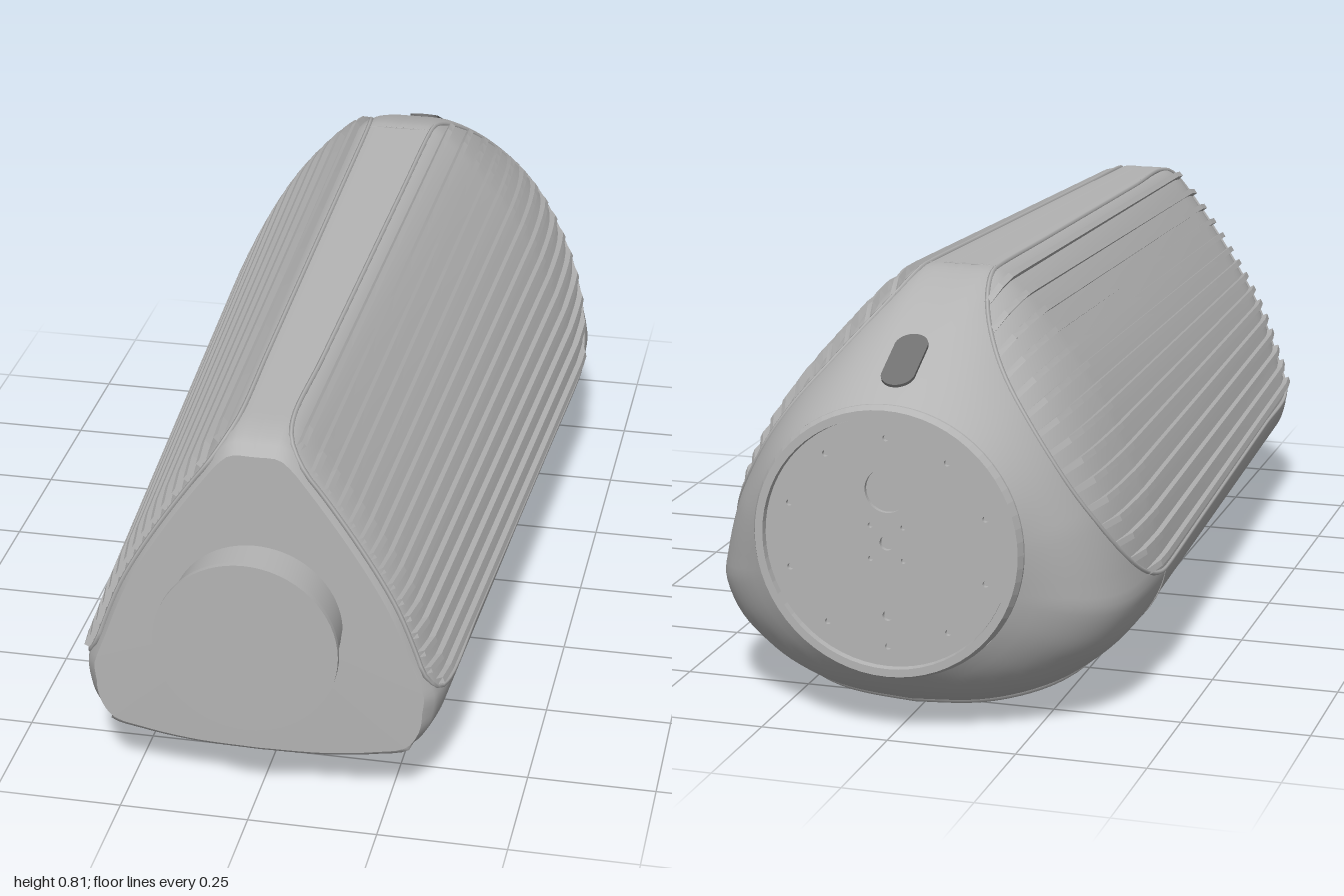
import * as THREE from 'three';

const CY = 0.38; // height of the long axis
const clamp = THREE.MathUtils.clamp;
const curve = pts => new THREE.CatmullRomCurve3(pts.map(([x, y]) => new THREE.Vector3(x, y, 0)));

// Half outlines from top centre round to bottom centre, at the rear shoulder and at the front
const rear = curve([[0, .81], [.07, .808], [.10, .79], [.14, .755], [.20, .685], [.25, .62], [.30, .54], [.34, .46],
  [.37, .39], [.39, .33], [.405, .27], [.412, .23], [.38, .15], [.31, .085], [.25, .05], [.15, .018], [0, .006]]);
const front = curve([[0, .757], [.05, .755], [.075, .735], [.11, .69], [.16, .62], [.20, .56], [.24, .495], [.275, .43],
  [.30, .37], [.32, .315], [.338, .268], [.348, .235], [.335, .175], [.295, .13], [.23, .115], [.13, .103], [0, .099]]);

// Point on the body skin: u runs once round in 0..2, z along the axis
function skin(u, z) {
  u = ((u % 2) + 2) % 2;
  const side = u > 1 ? -1 : 1;
  const t = rear.getUtoTmapping(u > 1 ? 2 - u : u);
  const b = rear.getPoint(t);
  const p = front.getPoint(t).lerp(b, clamp((0.85 - z) / 1.4, 0, 1));
  // rounded front edge, sharper underneath
  const e = clamp((z - 0.8) / 0.1, 0, 1);
  const s = 1 - 0.08 * (1 - Math.sqrt(1 - e * e)) * clamp((p.y - 0.1) / 0.1, 0, 1);
  p.x *= s;
  p.y = CY + (p.y - CY) * s;
  // rear shoulder blends into a circle
  const d = clamp((-0.55 - z) / 0.43, 0, 1);
  if (d > 0) {
    const k = Math.pow(d, 1.4 + 2.8 * clamp((0.81 - b.y) / 0.4, 0, 1));
    const a = Math.atan2(b.y - CY, b.x);
    p.lerp(new THREE.Vector3(0.262 * Math.cos(a), CY + 0.262 * Math.sin(a), 0), k);
  }
  return new THREE.Vector3(p.x * side, p.y, z);
}

// Skin point moved outward by h and sideways by w
function offset(u, z, h, w = 0) {
  const t = skin(u + 0.005, z).sub(skin(u - 0.005, z)).normalize();
  return skin(u, z).add(new THREE.Vector3(-t.y * h + t.x * w, t.x * h + t.y * w, 0));
}

// Surface from a grid of points f(i, j)
function grid(f, ni, nj) {
  const pos = [], idx = [];
  for (let j = 0; j <= nj; j++) for (let i = 0; i <= ni; i++) {
    pos.push(...f(i, j).toArray());
    if (i < ni && j < nj) {
      const a = j * (ni + 1) + i, c = a + ni + 1;
      idx.push(a, a + 1, c, a + 1, c + 1, c);
    }
  }
  const g = new THREE.BufferGeometry();
  g.setAttribute('position', new THREE.Float32BufferAttribute(pos, 3));
  g.setIndex(idx);
  g.computeVertexNormals();
  return g;
}

export function createModel() {
  const group = new THREE.Group();
  const grey = new THREE.MeshStandardMaterial({ color: 0xb4b4b4, side: THREE.DoubleSide });
  grey.name = 'grey shell';
  const dark = new THREE.MeshStandardMaterial({ color: 0x707070 });
  dark.name = 'dark recess';
  const add = (name, geo, parent = group, mat = grey) => {
    const m = new THREE.Mesh(geo, mat);
    m.name = name;
    parent.add(m);
    return m;
  };
  const tube = (pts, r, closed = false) =>
    new THREE.TubeGeometry(new THREE.CatmullRomCurve3(pts, closed), pts.length * 4, r, 5, closed);

  // Tapered body and front face
  add('body', grid((i, j) => skin(i / 64, 0.9 - 1.88 * j / 96), 128, 96));
  add('frontFace', grid((i, j) => skin(i / 64, 0.9).lerp(new THREE.Vector3(0, CY, 0.905), 1 - j / 6), 128, 6));

  // Ribbed side panel, mirrored
  const side = new THREE.Group();
  side.name = 'leftPanel';
  const uA = 0.055, uB = 0.597, uM = (uA + uB) / 2, uH = (uB - uA) / 2;
  const panelEnd = u => -0.52 - 0.34 * Math.sqrt(Math.max(0, 1 - ((u - uM) / uH) ** 2));
  for (let k = 0; k < 15; k++) {
    const u = 0.083 + 0.492 * k / 14;
    const z0 = k === 0 || k === 14 ? 0.855 : 0.88, z1 = panelEnd(u);
    const g = grid((i, j) => {
      const z = z0 + (z1 - z0) * j / 28;
      const h = 0.014 * (j === 28 ? 0.2 : 1);
      return offset(u, z, i === 1 || i === 2 ? h : -0.006, i < 2 ? -0.006 : 0.006);
    }, 3, 28).toNonIndexed();
    g.computeVertexNormals();
    add('rib', g, side);
  }

  // Rim round the panel
  const rim = [];
  for (let i = 0; i <= 24; i++) {
    const a = Math.PI * i / 24;
    rim.push(skin(uM - uH * Math.cos(a), -0.52 - 0.34 * Math.sin(a)));
  }
  for (const z of [-0.2, 0.2, 0.55, 0.8]) rim.push(skin(uB, z));
  rim.push(skin(uB - 0.015, 0.86));
  for (let i = 0; i <= 10; i++) rim.push(skin(uB - 0.05 - (uB - uA - 0.1) * i / 10, 0.885));
  rim.push(skin(uA + 0.015, 0.86));
  for (const z of [0.8, 0.55, 0.2, -0.2]) rim.push(skin(uA, z));
  add('panelRim', tube(rim, 0.005, true), side);

  // Shell joint across the lower corner
  add('cornerSeam', tube([0, 1, 2, 3, 4, 5].map(i => skin(uB + 0.146 * i / 5, -0.53)), 0.002), side);
  group.add(side);
  const other = side.clone();
  other.name = 'rightPanel';
  other.scale.x = -1;
  group.add(other);
  add('topSeam', tube([-2, -1, 0, 1, 2].map(i => skin(uA * i / 2, -0.53)), 0.002));

  // Raised plate underneath with a rounded rear end
  add('bottomPlate', grid((i, j) => {
    const v = clamp((i - 21) / 20, -1, 1), s = clamp((j - 1) / 40, 0, 1);
    const zEnd = -0.52 - 0.32 * Math.sqrt(1 - v ** 4);
    const edge = i === 0 || i === 42 || j === 0 || j === 42;
    return offset(1 + 0.255 * v, 0.895 + (zEnd - 0.895) * s, edge ? -0.004 : 0.006);
  }, 42, 42));

  // Slot on the rear shoulder
  const slot = new THREE.Shape();
  slot.absarc(0, 0.042, 0.032, 0, Math.PI);
  slot.absarc(0, -0.042, 0.032, Math.PI, Math.PI * 2);
  const slotAt = skin(0, -0.875);
  const slope = skin(0, -0.84).sub(skin(0, -0.91));
  const slotMesh = add('shoulderSlot', new THREE.ExtrudeGeometry(slot, { depth: 0.006, bevelEnabled: false }), group, dark);
  slotMesh.position.copy(slotAt);
  slotMesh.rotation.x = -Math.PI / 2 + Math.atan2(-slope.y, slope.z);

  // Rear ring and drilled end plate
  const ring = add('rearRing', new THREE.LatheGeometry(
    [[.236, .97], [.262, .97], [.262, .985], [.255, 1], [.24, 1], [.236, .97]].map(([x, y]) => new THREE.Vector2(x, y)), 64)
    .toNonIndexed());
  ring.geometry.computeVertexNormals();
  ring.rotation.x = -Math.PI / 2;
  ring.position.y = CY;

  const disc = new THREE.Shape().absarc(0, 0, 0.238, 0, Math.PI * 2);
  const hole = (x, y, r) => disc.holes.push(new THREE.Path().absarc(x, y, r, 0, Math.PI * 2, true));
  hole(0, 0.1, 0.042);
  hole(0, 0, 0.014);
  hole(0, -0.14, 0.01);
  for (let i = 0; i < 4; i++) {
    const a = Math.PI / 4 + i * Math.PI / 2;
    hole(0.045 * Math.cos(a), 0.045 * Math.sin(a), 0.005);
  }
  for (let i = 0; i < 10; i++) {
    const a = (i + 0.5) * Math.PI / 5;
    hole(0.2 * Math.cos(a), 0.2 * Math.sin(a), 0.006);
  }
  const plate = add('endPlate', new THREE.ExtrudeGeometry(disc, { depth: 0.009, bevelEnabled: false, curveSegments: 32 }));
  plate.position.set(0, CY, -0.988);
  const backing = add('rearFace', new THREE.CircleGeometry(0.262, 64));
  backing.rotation.y = Math.PI;
  backing.position.set(0, CY, -0.978);

  // Front knob: thin disc on a stem that is scooped away underneath
  const cap = add('knobDisc', new THREE.CylinderGeometry(0.176, 0.176, 0.012, 64));
  cap.rotation.x = Math.PI / 2;
  cap.position.set(0, 0.378, 0.994);
  const stem = new THREE.BoxGeometry(2, 2, 2, 1, 40, 1);
  const p = stem.attributes.position;
  for (let i = 0; i < p.count; i++) {
    const a = p.getY(i) * Math.PI / 2, y = 0.378 + 0.165 * Math.sin(a);
    const back = y > 0.381 ? 0.89 : 0.985 - 0.075 * ((y - 0.21) / 0.17) ** 2;
    p.setXYZ(i, p.getX(i) * 0.165 * Math.cos(a), y, p.getZ(i) > 0 ? 0.99 : back);
  }
  stem.computeVertexNormals();
  add('knobStem', stem);

  return group;
}
